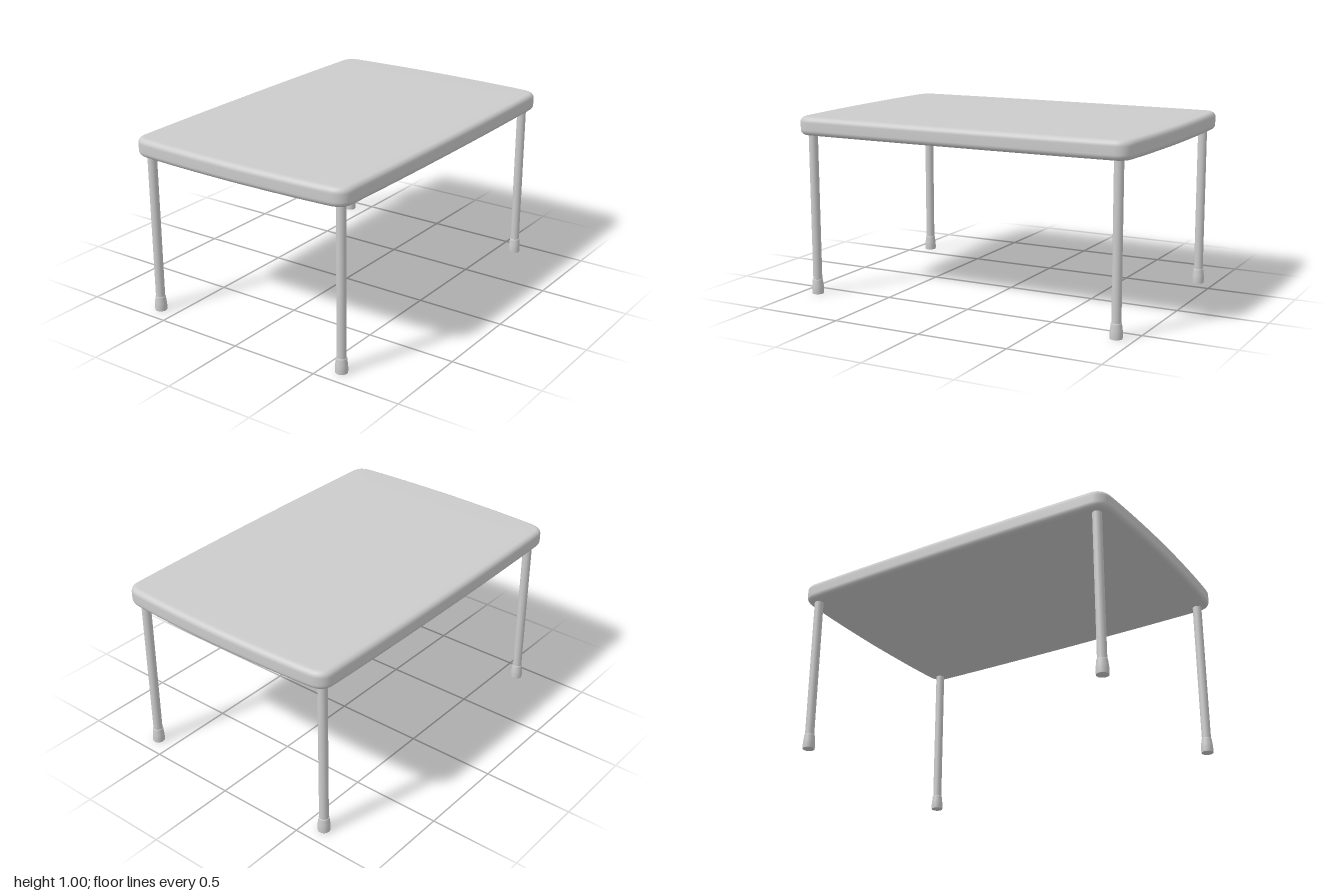
import * as THREE from 'three';
import { mergeVertices } from 'three/addons/utils/BufferGeometryUtils.js';

const material = new THREE.MeshStandardMaterial({ color: 0xcccccc });

// Rectangle with gently bowed sides and rounded corners, counter-clockwise in (x, z)
function tableOutline() {
  const quarter = new THREE.Path();
  quarter.moveTo(1, 0);
  quarter.quadraticCurveTo(0.998, 0.33, 0.98, 0.58);
  quarter.quadraticCurveTo(0.973, 0.664, 0.9, 0.67);
  quarter.quadraticCurveTo(0.5, 0.681, 0, 0.681);
  const q = quarter.getPoints(12);
  const mirror = (sx, sz) => q.map((p) => new THREE.Vector2(p.x * sx, p.y * sz));
  return [
    ...mirror(1, 1).slice(0, -1),
    ...mirror(-1, 1).reverse().slice(0, -1),
    ...mirror(-1, -1).slice(0, -1),
    ...mirror(1, -1).reverse().slice(0, -1),
  ];
}

// Slab: the outline inset along a rounded edge profile, with slightly domed faces
function slabGeometry() {
  const outline = tableOutline();
  const n = outline.length;
  const normals = outline.map((p, i) => {
    const t = outline[(i + 1) % n].clone().sub(outline[(i + n - 1) % n]).normalize();
    return new THREE.Vector2(t.y, -t.x);
  });

  const radius = 0.03, low = 0.896, high = 0.997, steps = 6;
  const profile = [];
  for (let i = 0; i <= steps; i++) {
    const a = (i / steps) * Math.PI / 2;
    profile.push([radius * (1 - Math.sin(a)), low + radius * (1 - Math.cos(a))]);
  }
  for (let i = 0; i <= steps; i++) {
    const a = (i / steps) * Math.PI / 2;
    profile.push([radius * (1 - Math.cos(a)), high - radius * (1 - Math.sin(a))]);
  }

  // Rings: [inset, height, scale towards the centre]
  const rings = [
    [radius, 0.893, 0.6], [radius, 0.895, 0.93],
    ...profile.map(([d, y]) => [d, y, 1]),
    [radius, 0.998, 0.93], [radius, 1, 0.6],
  ];
  const position = [], index = [];
  for (const [d, y, s] of rings) {
    outline.forEach((p, i) => {
      position.push((p.x - normals[i].x * d) * s, y, (p.y - normals[i].y * d) * s);
    });
  }
  for (let r = 0; r < rings.length - 1; r++) {
    for (let i = 0; i < n; i++) {
      const j = (i + 1) % n;
      const a = r * n + i, b = r * n + j, c = a + n, d = b + n;
      index.push(a, c, b, b, c, d);
    }
  }
  // Centre fans closing the underside and the top
  const bottom = rings.length * n, top = bottom + 1, last = (rings.length - 1) * n;
  position.push(0, 0.893, 0, 0, 1, 0);
  for (let i = 0; i < n; i++) {
    const j = (i + 1) % n;
    index.push(bottom, i, j, top, last + j, last + i);
  }
  const geometry = new THREE.BufferGeometry();
  geometry.setAttribute('position', new THREE.Float32BufferAttribute(position, 3));
  geometry.setIndex(index);
  const merged = mergeVertices(geometry);
  merged.computeVertexNormals();
  return merged;
}

function addMesh(parent, name, geometry) {
  const mesh = new THREE.Mesh(geometry, material);
  mesh.name = name;
  parent.add(mesh);
}

export function createModel() {
  const table = new THREE.Group();
  table.name = 'table';
  addMesh(table, 'tableTop', slabGeometry());

  // Round leg and the flared cap it stands in
  const legGeometry = new THREE.CylinderGeometry(0.025, 0.025, 0.87, 32);
  legGeometry.translate(0, 0.475, 0);
  const footProfile = [
    [0, 0], [0.032, 0], [0.032, 0], [0.033, 0.004], [0.033, 0.03], [0.032, 0.045],
    [0.029, 0.068], [0.0285, 0.078], [0.027, 0.082], [0.024, 0.082],
  ].map(([x, y]) => new THREE.Vector2(x, y));
  const footGeometry = new THREE.LatheGeometry(footProfile, 32);

  for (const [side, sx] of [['Left', 1], ['Right', -1]]) {
    for (const [end, sz] of [['front', 1], ['back', -1]]) {
      const leg = new THREE.Group();
      leg.name = `${end}${side}Leg`;
      leg.position.set(sx * 0.904, 0, sz * 0.604);
      addMesh(leg, 'legTube', legGeometry);
      addMesh(leg, 'footCap', footGeometry);
      table.add(leg);
    }
  }
  return table;
}
